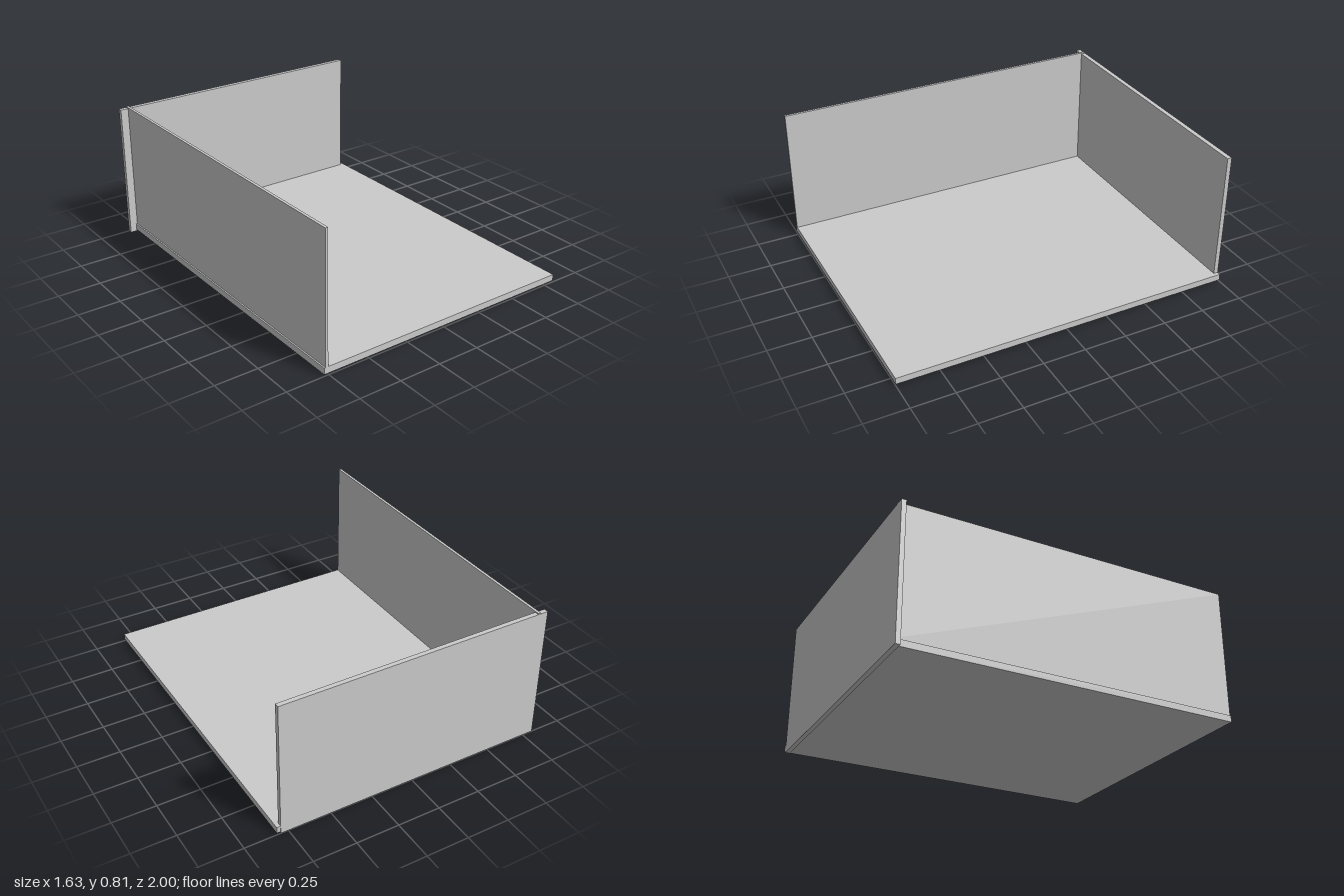
import * as THREE from 'three';

const material = new THREE.MeshStandardMaterial({ color: 0xcccccc, flatShading: true });

// Box panel spanning two opposite corners
function panel(name, min, max) {
  const size = max.map((v, i) => v - min[i]);
  const mesh = new THREE.Mesh(new THREE.BoxGeometry(...size), material);
  mesh.position.set(...max.map((v, i) => (v + min[i]) / 2));
  mesh.name = name;
  return mesh;
}

export function createModel() {
  const group = new THREE.Group();
  group.name = 'openRoom';
  group.add(
    // Floor slab, slightly above the foot of the back wall
    panel('floor', [-0.777, 0.01, -0.999], [0.815, 0.048, 1]),
    // Back wall, shifted past the side wall
    panel('backWall', [-0.815, 0, -1], [0.793, 0.8, -0.973]),
    // Thin side wall standing on the floor
    panel('sideWall', [-0.769, 0.048, -0.998], [-0.753, 0.806, 1]),
  );
  return group;
}
